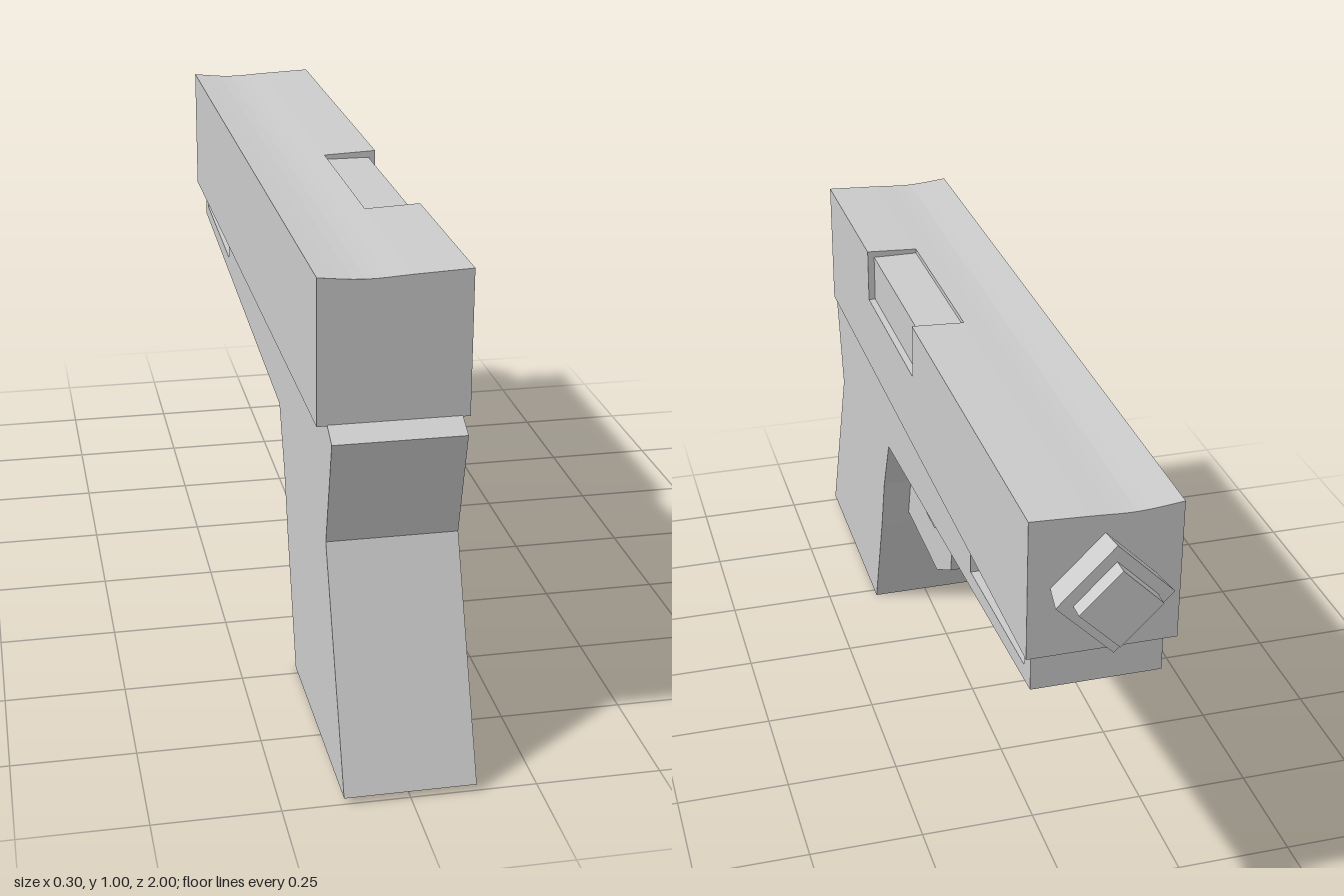
import * as THREE from 'three';

const material = new THREE.MeshStandardMaterial({ color: 0xcccccc, flatShading: true });

function extrude(points, depth) {
  const shape = new THREE.Shape(points.map(([x, y]) => new THREE.Vector2(x, y)));
  return new THREE.ExtrudeGeometry(shape, { depth, bevelEnabled: false });
}

// Side profile of [z, y] points, extruded across x
function acrossX(points, x0, x1) {
  return extrude(points.map(([z, y]) => [-z, y]), x1 - x0).rotateY(Math.PI / 2).translate(x0, 0, 0);
}

// End profile of [x, y] points, extruded along z
function alongZ(points, z0, z1) {
  return extrude(points, z1 - z0).translate(0, 0, z0);
}

export function createModel() {
  const group = new THREE.Group();
  const add = (name, geometry) => {
    const mesh = new THREE.Mesh(geometry, material);
    mesh.name = name;
    group.add(mesh);
  };

  // Slide with a gently waved top
  const wave = new THREE.SplineCurve([[-0.15, 0.999], [-0.06, 0.991], [0.03, 0.995], [0.145, 1]]
    .map(([x, y]) => new THREE.Vector2(x, y)));
  const top = wave.getPoints(12).map((p) => [p.x, p.y]).reverse();
  const full = [[-0.15, 0.708], [0.145, 0.708], ...top];
  add('slideRear', alongZ(full, 0.39, 0.82));
  add('slideFront', alongZ(full, -0.9, -0.04));

  // Middle of the slide, with the shallow port let into its left top edge
  const ported = [[-0.15, 0.708], [0.145, 0.708], [0.145, 0.88], [0.13, 0.88], [0.13, 0.985],
    [0.03, 0.985], [0.03, 0.995], ...top.filter(([x]) => x < 0.029)];
  add('slidePort', alongZ(ported, -0.04, 0.39));

  // Frame and grip: a core, and side layers notched for the rail slots
  const lower = [[0.82, 0.71], [0.865, 0.688], [0.81, 0.465], [1, 0.016], [0.475, 0.003],
    [0.385, 0.265], [0.345, 0.405], [0.285, 0.54], [-0.88, 0.625], [-0.88, 0.71]];
  const notch = [[-0.845, 0.71], [-0.84, 0.655], [-0.46, 0.632], [-0.46, 0.71]];
  add('frameCore', acrossX(lower, -0.085, 0.085));
  add('frameSideLeft', acrossX([...lower, ...notch], 0.085, 0.13));
  add('frameSideRight', acrossX([...lower, ...notch], -0.13, -0.085));

  // Trigger guard and trigger
  add('triggerGuard', acrossX([[0.4, 0.4], [0.105, 0.405], [0.03, 0.57], [-0.08, 0.575],
    [-0.04, 0.375], [0.09, 0.3], [0.4, 0.3]], -0.063, 0.063));
  add('trigger', acrossX([[0.29, 0.545], [0.245, 0.45], [0.165, 0.41], [0.12, 0.45],
    [0.185, 0.5], [0.205, 0.555]], -0.03, 0.03));

  // Four-sided muzzle in two steps
  const muzzle = (rBack, rFront, zBack, zFront) =>
    new THREE.CylinderGeometry(rFront, rBack, zBack - zFront, 4)
      .rotateX(-Math.PI / 2).translate(0, 0.855, (zBack + zFront) / 2);
  add('muzzleCollar', muzzle(0.1, 0.113, -0.89, -0.967));
  add('muzzleTip', muzzle(0.08, 0.08, -0.95, -1));

  return group;
}
